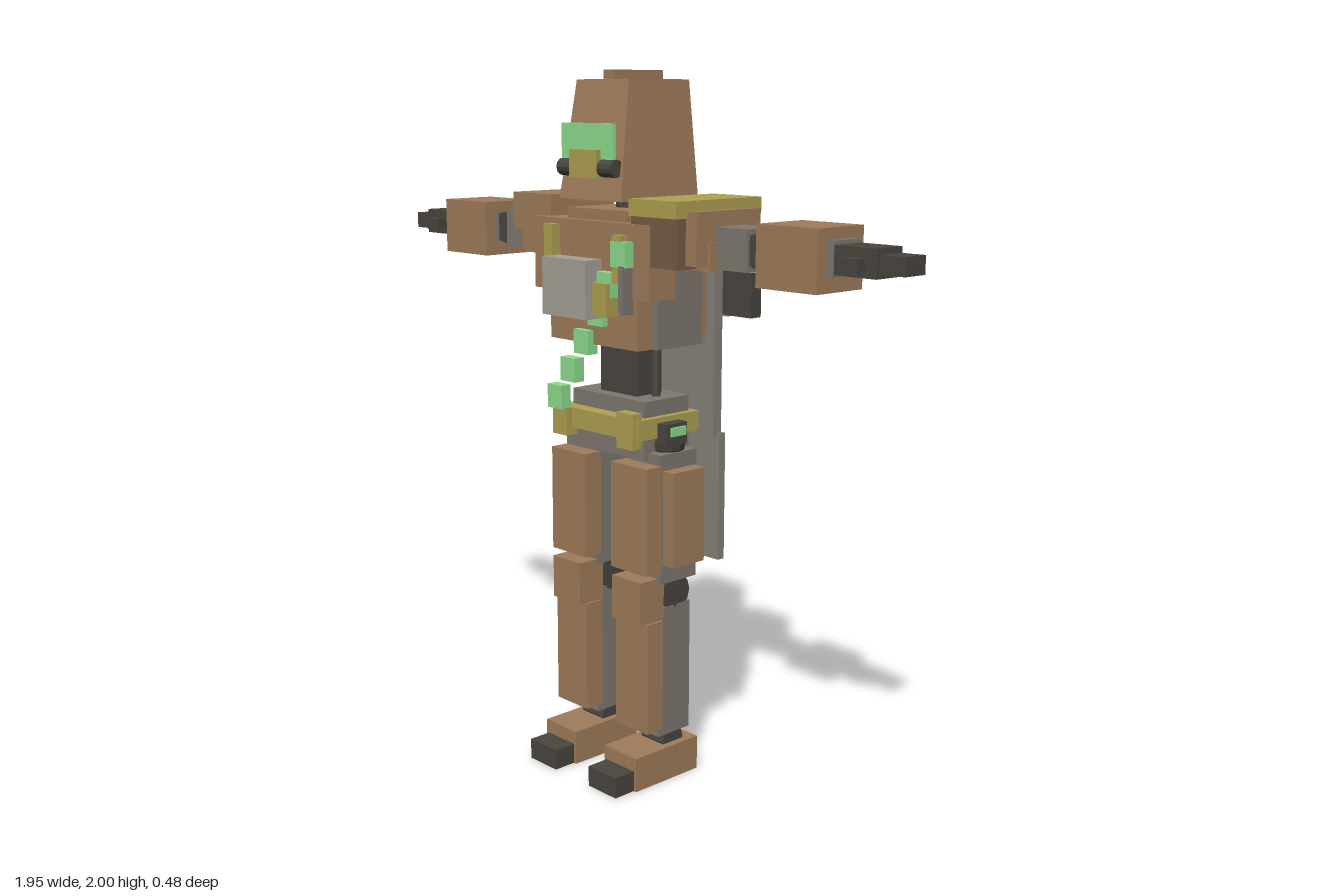
import * as THREE from 'three';

const mat = (color) => new THREE.MeshStandardMaterial({ color, flatShading: true });
const brown = mat(0xa07d5c), umber = mat(0x765c47), dark = mat(0x4a4640), grey = mat(0x7f7870);
const cloth = mat(0x86837a), gold = mat(0xb0a152), green = mat(0x8fde8f), pale = mat(0xa6a298);

export function createModel() {
  const model = new THREE.Group();
  model.name = 'armouredTrooper';

  const add = (name, geometry, material, parent) => {
    const mesh = new THREE.Mesh(geometry, material);
    mesh.name = name;
    parent.add(mesh);
    return mesh;
  };
  // Box given by its extents along each axis
  const box = (name, material, [x0, x1], [y0, y1], [z0, z1], parent = model) => {
    const mesh = add(name, new THREE.BoxGeometry(x1 - x0, y1 - y0, z1 - z0), material, parent);
    mesh.position.set((x0 + x1) / 2, (y0 + y1) / 2, (z0 + z1) / 2);
    return mesh;
  };
  // Cylinder lying along the chosen axis
  const rod = (name, material, r, length, axis, [x, y, z], parent = model) => {
    const geometry = new THREE.CylinderGeometry(r, r, length, 12);
    if (axis === 'x') geometry.rotateZ(Math.PI / 2);
    if (axis === 'z') geometry.rotateX(Math.PI / 2);
    const mesh = add(name, geometry, material, parent);
    mesh.position.set(x, y, z);
    return mesh;
  };
  const ball = (name, material, r, [x, y, z], parent = model) =>
    add(name, new THREE.SphereGeometry(r, 12, 8), material, parent).position.set(x, y, z);
  const group = (name) => {
    const g = new THREE.Group();
    g.name = name;
    model.add(g);
    return g;
  };

  // Helmet: a box narrowing toward the top
  const head = group('head');
  const shell = new THREE.BoxGeometry(0.25, 0.32, 0.29);
  const p = shell.attributes.position;
  for (let i = 0; i < p.count; i++) {
    if (p.getY(i) > 0) p.setXYZ(i, p.getX(i) * 0.84, p.getY(i), p.getZ(i) * 0.77 - 0.015);
  }
  shell.computeVertexNormals();
  add('helmet', shell, brown, head).position.set(0, 1.815, 0.01);
  box('helmetCrest', brown, [-0.02, 0.02], [1.97, 2], [-0.1, 0.085], head);
  box('visor', green, [-0.105, 0.105], [1.765, 1.86], [0.153, 0.163], head);
  rod('mouthTube', dark, 0.024, 0.22, 'x', [0, 1.742, 0.155], head);
  box('mouthFilter', gold, [-0.055, 0.055], [1.715, 1.79], [0.14, 0.18], head);
  rod('neck', dark, 0.045, 0.09, 'y', [0, 1.63, 0], head);

  // Torso core with front and back armour
  const torso = group('torso');
  box('torsoCore', grey, [-0.2, 0.2], [1.26, 1.595], [-0.08, 0.09], torso);
  box('upperChestPlate', brown, [-0.235, 0.235], [1.4, 1.6], [0.06, 0.155], torso);
  box('lowerChestPlate', brown, [-0.18, 0.18], [1.26, 1.45], [0.07, 0.145], torso);
  box('upperBackPlate', brown, [-0.225, 0.225], [1.48, 1.6], [-0.155, -0.07], torso);
  box('lowerBackPlate', brown, [-0.18, 0.18], [1.26, 1.5], [-0.115, -0.07], torso);
  box('collar', brown, [-0.12, 0.12], [1.595, 1.63], [-0.12, 0.13], torso);
  box('waist', dark, [-0.075, 0.075], [1.1, 1.27], [-0.045, 0.05], torso);
  for (const s of [-1, 1]) rod('waistPiston', dark, 0.013, 0.17, 'y', [s * 0.1, 1.185, 0], torso);
  box('hipFrame', grey, [-0.15, 0.15], [0.945, 1.11], [-0.08, 0.09], torso);

  // Chest equipment
  const kit = group('chestEquipment');
  box('chestShield', pale, [-0.12, 0.06], [1.34, 1.5], [0.165, 0.225], kit);
  box('shieldMount', brown, [-0.09, 0.03], [1.37, 1.47], [0.14, 0.17], kit);
  box('rightChestPouch', gold, [-0.16, -0.125], [1.435, 1.585], [0.15, 0.185], kit);
  box('leftChestPouch', gold, [0.06, 0.115], [1.35, 1.44], [0.15, 0.2], kit);
  box('leftShoulderStrap', gold, [0.115, 0.15], [1.44, 1.57], [0.15, 0.18], kit);
  box('knife', grey, [0.153, 0.17], [1.36, 1.49], [0.15, 0.19], kit);

  // Diagonal bandolier of cells
  for (let i = 0; i < 6; i++) {
    const x = -0.145 + i * 0.058, y = 1.095 + i * 0.085, z = i > 3 ? 0.02 : 0;
    box('bandolierCell', green, [x - 0.03, x + 0.03], [y - 0.034, y + 0.034], [0.13 + z, 0.165 + z], kit);
  }

  // Belt with pouches and hip canister
  const belt = group('belt');
  box('beltBand', gold, [-0.17, 0.17], [1.008, 1.065], [-0.1, 0.135], belt);
  box('rightBeltPouch', gold, [-0.165, -0.105], [0.985, 1.065], [0.115, 0.155], belt);
  box('leftBeltPouch', gold, [0.1, 0.165], [0.985, 1.085], [0.115, 0.15], belt);
  box('canisterHolder', dark, [0.165, 0.205], [0.99, 1.05], [-0.02, 0.06], belt);
  box('hipCanister', green, [0.185, 0.212], [1.015, 1.04], [-0.01, 0.045], belt);

  // Backpack and launcher
  const back = group('backpack');
  box('packBody', brown, [-0.12, 0.12], [1.28, 1.52], [-0.215, -0.15], back);
  box('packLauncher', dark, [-0.29, 0.29], [1.33, 1.455], [-0.22, -0.18], back);
  for (const s of [-1, 1]) box('launcherCap', green, [s * 0.265 - 0.025, s * 0.265 + 0.025], [1.455, 1.472], [-0.215, -0.185], back);
  box('packRoll', gold, [-0.17, 0.17], [1.32, 1.48], [-0.243, -0.21], back);

  // Cape in two panels
  box('upperCape', cloth, [-0.21, 0.21], [0.99, 1.5], [-0.15, -0.118]);
  box('lowerCape', cloth, [-0.22, 0.22], [0.63, 1], [-0.157, -0.133]);

  // Limbs, mirrored for each side
  for (const s of [-1, 1]) {
    const side = s > 0 ? 'left' : 'right';
    const span = (a, b) => (s > 0 ? [a, b] : [-b, -a]);

    const arm = group(side + 'Arm');
    rod('shoulderJoint', dark, 0.05, 0.08, 'x', [s * 0.22, 1.545, 0], arm);
    box('upperArm', grey, span(0.24, 0.49), [1.49, 1.6], [-0.055, 0.055], arm);
    box('armGuard', brown, span(0.3, 0.385), [1.485, 1.56], [-0.08, 0.08], arm);
    rod('elbow', dark, 0.046, 0.09, 'z', [s * 0.515, 1.545, 0], arm);
    box('forearm', grey, span(0.54, 0.77), [1.5, 1.59], [-0.05, 0.05], arm);
    box('forearmArmour', brown, span(0.55, 0.75), [1.46, 1.62], [-0.087, 0.087], arm);
    box('hand', dark, span(0.765, 0.9), [1.507, 1.58], [-0.048, 0.048], arm);
    box('fingers', dark, span(0.88, 0.975), [1.518, 1.565], [-0.04, 0.037], arm);
    box('thumb', dark, span(0.81, 0.865), [1.52, 1.555], [0.04, 0.077], arm);

    const leg = group(side + 'Leg');
    ball('hipJoint', dark, 0.055, [s * 0.145, 0.99, 0], leg);
    box('thigh', grey, span(0.07, 0.198), [0.595, 0.965], [-0.065, 0.075], leg);
    box('thighFrontPlate', brown, span(0.055, 0.2), [0.63, 0.935], [0.07, 0.13], leg);
    box('thighSidePlate', brown, span(0.195, 0.24), [0.65, 0.92], [-0.055, 0.065], leg);
    rod('kneeJoint', dark, 0.053, 0.11, 'x', [s * 0.13, 0.555, 0], leg);
    box('kneeGuard', brown, span(0.07, 0.187), [0.485, 0.61], [0.05, 0.14], leg);
    box('shin', grey, span(0.075, 0.185), [0.135, 0.52], [-0.055, 0.068], leg);
    box('shinPlate', brown, span(0.063, 0.195), [0.16, 0.485], [0.06, 0.12], leg);
    rod('ankle', dark, 0.04, 0.09, 'x', [s * 0.13, 0.105, 0], leg);
    box('foot', brown, span(0.063, 0.197), [0, 0.1], [-0.078, 0.165], leg);
    box('toeCap', dark, span(0.073, 0.187), [0, 0.06], [0.16, 0.235], leg);
  }

  // Shoulder armour, heavier on the left
  box('rightShoulderPad', brown, [-0.375, -0.205], [1.555, 1.66], [-0.12, 0.12]);
  box('leftShoulderPad', brown, [0.12, 0.375], [1.5, 1.64], [-0.12, 0.12]);
  box('leftShoulderSkirt', umber, [0.16, 0.335], [1.49, 1.625], [-0.15, 0.15]);
  box('leftShoulderCover', gold, [0.16, 0.34], [1.622, 1.667], [-0.16, 0.16]);

  return model;
}
